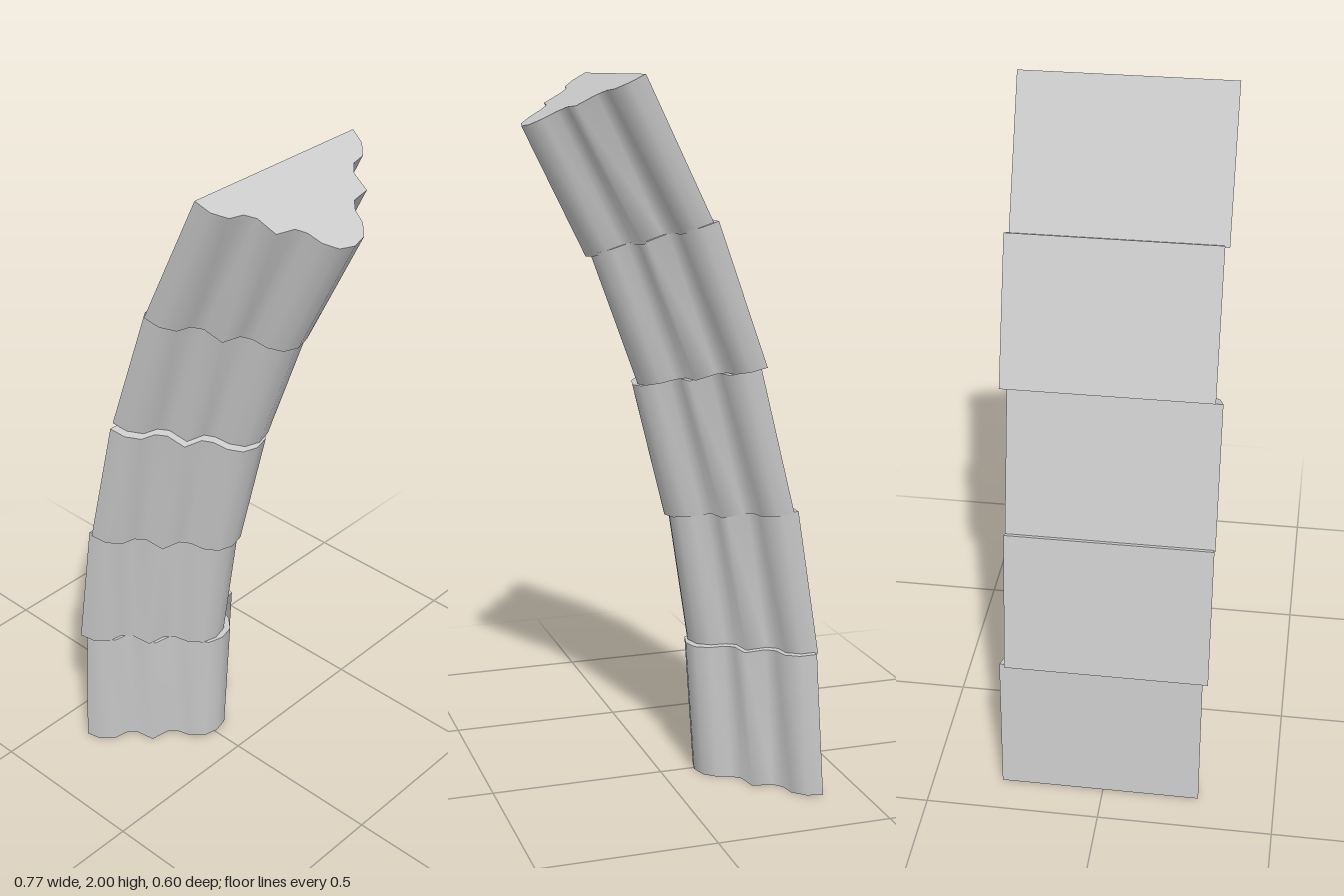
import * as THREE from 'three';
import { toCreasedNormals } from 'three/addons/utils/BufferGeometryUtils.js';

// Half of the moulding profile: [depth fraction from back to front, half width]
const HALF = [
  [0, 0.289], [0.157, 0.278], [0.275, 0.246], [0.302, 0.203], [0.384, 0.178], [0.588, 0.168],
  [0.62, 0.11], [0.706, 0.088], [0.843, 0.076], [0.96, 0.046],
];

// Each stone: sideways offset, then [x, y] of its bottom back, bottom front, top back, top front
const STONES = [
  { z: -0.009, bottom: [[-0.387, 0], [-0.1, 0]], top: [[-0.36, 0.421], [-0.073, 0.392]] },
  { z: 0.007, bottom: [[-0.37, 0.418], [-0.085, 0.395]], top: [[-0.304, 0.832], [-0.026, 0.784]] },
  { z: 0.009, bottom: [[-0.293, 0.826], [-0.014, 0.774]], top: [[-0.192, 1.232], [0.08, 1.154]] },
  { z: -0.01, bottom: [[-0.202, 1.237], [0.07, 1.158]], top: [[-0.062, 1.628], [0.204, 1.526]] },
  { z: 0.002, bottom: [[-0.054, 1.62], [0.213, 1.515]], top: [[0.131, 2], [0.385, 1.864]] },
];

function profileShape() {
  const points = HALF.map(([d, w]) => new THREE.Vector2(d, -w));
  points.push(new THREE.Vector2(1, 0));
  for (const [d, w] of [...HALF].reverse()) points.push(new THREE.Vector2(d, w));
  return new THREE.Shape(points);
}

// Extrude the profile by one unit, then bend it between the tilted end faces
function stoneGeometry({ z, bottom, top }) {
  const geometry = new THREE.ExtrudeGeometry(profileShape(), { depth: 1, bevelEnabled: false });
  const pos = geometry.attributes.position;
  const mix = THREE.MathUtils.lerp;
  for (let i = 0; i < pos.count; i++) {
    const d = pos.getX(i), side = pos.getY(i), t = pos.getZ(i);
    const [x, y] = [0, 1].map((k) =>
      mix(mix(bottom[0][k], bottom[1][k], d), mix(top[0][k], top[1][k], d), t));
    pos.setXYZ(i, x, y, z - side);
  }
  return toCreasedNormals(geometry, 1.3);
}

export function createModel() {
  const group = new THREE.Group();
  group.name = 'archRib';
  const material = new THREE.MeshStandardMaterial({ color: 0xcccccc });
  STONES.forEach((stone, i) => {
    const mesh = new THREE.Mesh(stoneGeometry(stone), material);
    mesh.name = `ribStone${i + 1}`;
    group.add(mesh);
  });
  return group;
}
